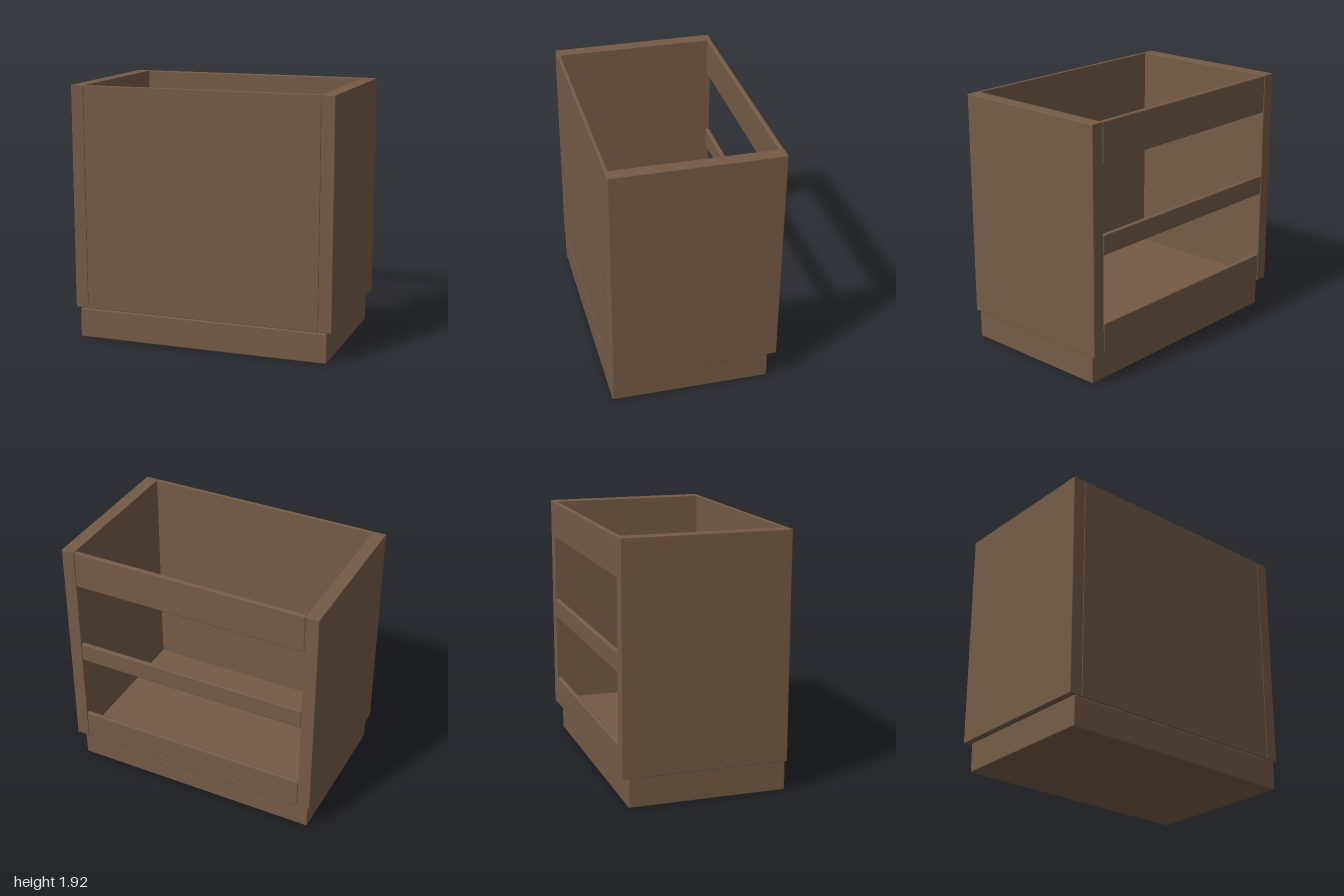
import * as THREE from 'three';
import { RoundedBoxGeometry } from 'three/addons/geometries/RoundedBoxGeometry.js';

const wood = new THREE.MeshStandardMaterial({ color: 0x755b46 });

// Board with softened edges, given by its [min, max] extent on each axis
function board(name, [x0, x1], [y0, y1], [z0, z1], radius = 0.006) {
  const mesh = new THREE.Mesh(new RoundedBoxGeometry(x1 - x0, y1 - y0, z1 - z0, 2, radius), wood);
  mesh.position.set((x0 + x1) / 2, (y0 + y1) / 2, (z0 + z1) / 2);
  mesh.name = name;
  return mesh;
}

export function createModel() {
  const cabinet = new THREE.Group();
  cabinet.name = 'cabinet';
  const inner = [-0.9, 0.9];
  const bottom = 0.23, top = 1.92, front = 0.62, back = -0.62;

  // Recessed base, set in from the sides and the back
  cabinet.add(board('plinth', [-0.965, 0.965], [0, 0.225], [-0.565, front], 0.01));

  // Side walls
  cabinet.add(board('leftSide', [0.9, 1], [bottom, top], [back, front]));
  cabinet.add(board('rightSide', [-1, -0.9], [bottom, top], [back, front]));

  // Front panel and floor between the sides
  cabinet.add(board('frontPanel', inner, [bottom, top], [0.595, front], 0.005));
  cabinet.add(board('floor', inner, [0.225, 0.28], [-0.6, 0.6], 0.003));

  // Rails across the open back
  const rails = { bottomRail: [bottom, 0.46], middleRail: [0.97, 1.12], topRail: [1.63, top] };
  for (const [name, height] of Object.entries(rails)) {
    cabinet.add(board(name, inner, height, [back, -0.585], 0.01));
  }
  return cabinet;
}
